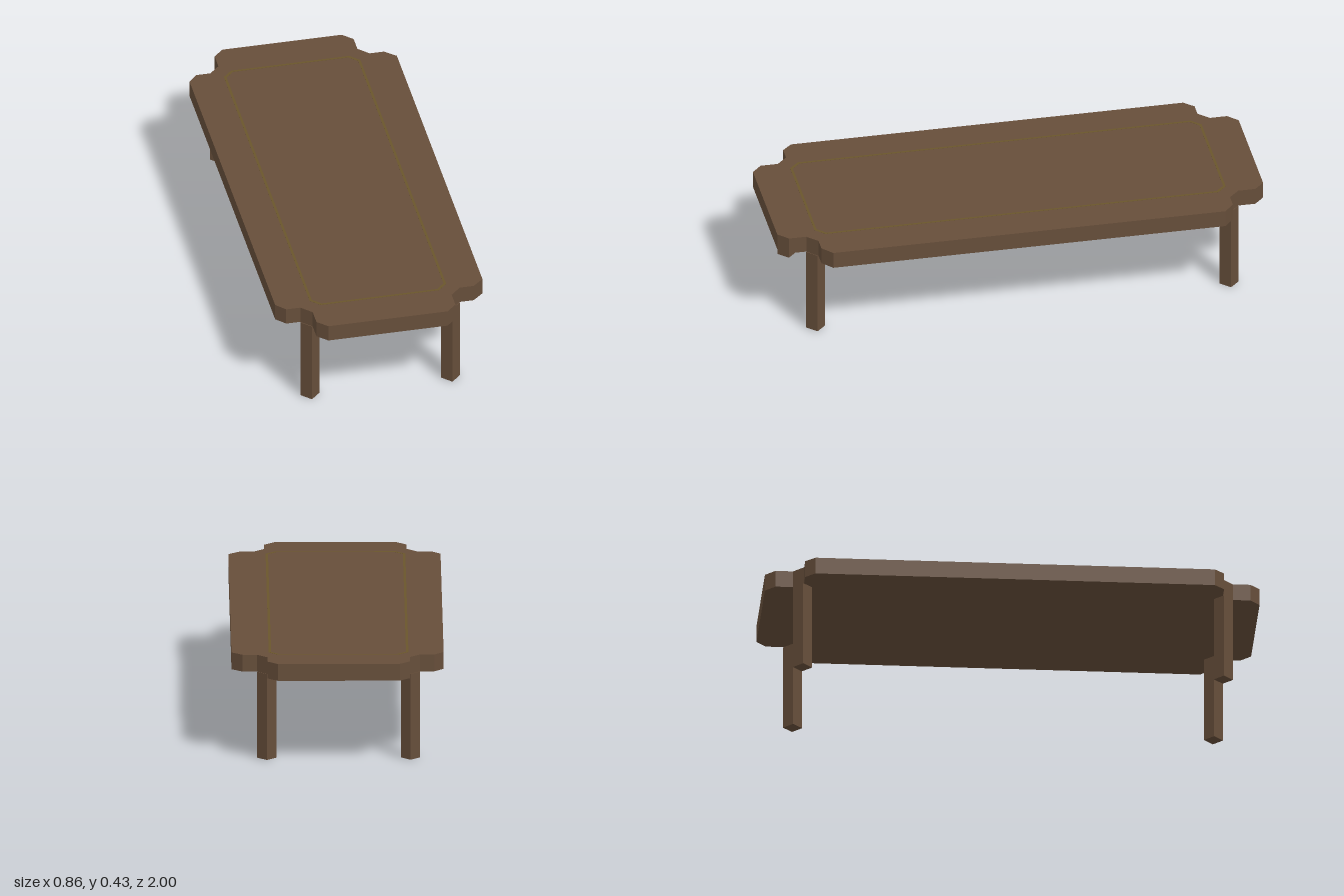
import * as THREE from 'three';

const TOP = 0.427, UNDER = 0.357; // slab heights
const SHIFT = -0.004;             // legs, notches and inlay sit slightly off centre

// Mirrors one quadrant of [x, z] points into a closed counter-clockwise outline.
function mirrorOutline(quadrant) {
  const back = [...quadrant].reverse();
  const all = [
    ...quadrant,
    ...back.map(([x, z]) => [-x, z]),
    ...quadrant.map(([x, z]) => [-x, -z]),
    ...back.map(([x, z]) => [x, -z]),
  ];
  return all.map(([x, z]) => new THREE.Vector2(Math.abs(x) > 0.42 ? x : x + SHIFT, z));
}

// Extrudes a ground-plan shape upward from the given height.
function slab(shape, bottom, height) {
  const geometry = new THREE.ExtrudeGeometry(shape, { depth: height, bevelEnabled: false });
  geometry.rotateX(-Math.PI / 2);
  geometry.translate(0, bottom, 0);
  return geometry;
}

export function createModel() {
  const model = new THREE.Group();
  model.name = 'coffeeTable';

  const wood = new THREE.MeshStandardMaterial({ color: 0x664e3a });
  wood.name = 'brown wood';
  const inlayWood = new THREE.MeshStandardMaterial({ color: 0x6a552c });
  inlayWood.name = 'olive inlay';

  const add = (name, geometry, material, parent = model) => {
    const mesh = new THREE.Mesh(geometry, material);
    mesh.name = name;
    parent.add(mesh);
    return mesh;
  };

  // Table top with stepped, chamfered corner notches
  const outline = mirrorOutline([
    [0.428, 0.807], [0.387, 0.847], [0.329, 0.847],
    [0.287, 0.889], [0.287, 0.96], [0.246, 1],
  ]);
  add('tableTop', slab(new THREE.Shape(outline), UNDER, TOP - UNDER), wood);

  // Narrow octagonal inlay line, almost flush with the top
  const octagon = (x, z, c) => mirrorOutline([[x, z - c], [x - c, z]]);
  const band = new THREE.Shape(octagon(0.282, 0.847, 0.038));
  band.holes.push(new THREE.Path(octagon(0.272, 0.837, 0.034)));
  add('topInlay', slab(band, TOP - 0.002, 0.0025), inlayWood);

  // Square legs turned 45 degrees, flush with the notch chamfers
  const legGeometry = new THREE.CylinderGeometry(0.039, 0.039, UNDER, 4).toNonIndexed();
  legGeometry.computeVertexNormals();
  const legs = new THREE.Group();
  legs.name = 'legs';
  model.add(legs);
  for (const [side, sx] of [['Left', 1], ['Right', -1]]) {
    for (const [end, sz] of [['front', 1], ['back', -1]]) {
      const leg = add(`${end}${side}Leg`, legGeometry, wood, legs);
      leg.position.set(sx * 0.29 + SHIFT, UNDER / 2, sz * 0.851);
    }
  }
  return model;
}
